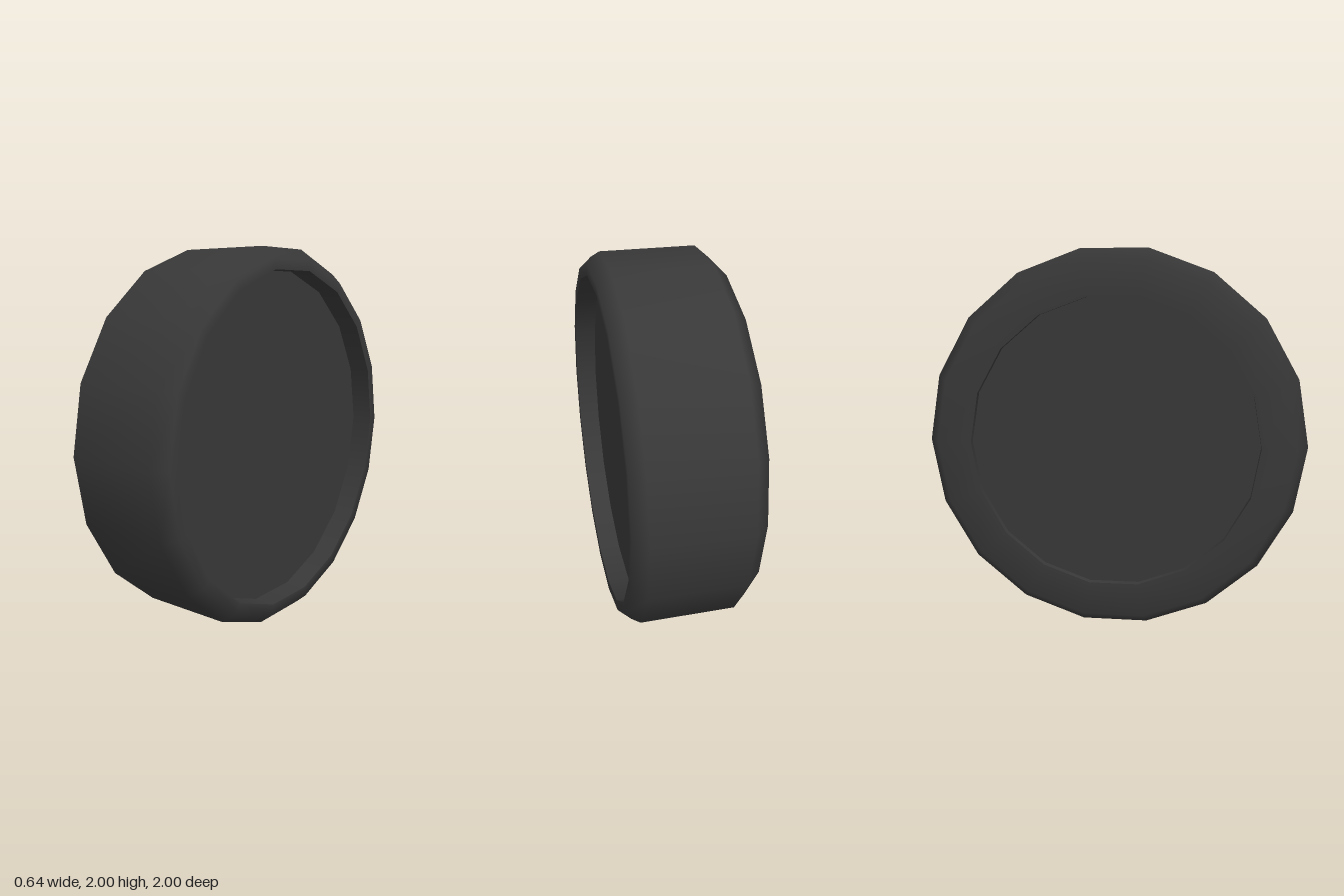
import * as THREE from 'three';

const SIDES = 18;

export function createModel() {
  const wheel = new THREE.Group();
  wheel.name = 'wheel';
  const rubber = new THREE.MeshStandardMaterial({ color: 0x383838 });
  rubber.name = 'dark rubber';

  // Revolves [radius, x] points around the axle; each part is smooth, joints stay sharp
  function ring(name, profile) {
    const points = profile.map(([r, x]) => new THREE.Vector2(r, x));
    const geometry = new THREE.LatheGeometry(points, SIDES);
    geometry.rotateZ(-Math.PI / 2);
    // the polygon is stretched slightly so its flats reach the full height
    geometry.scale(1, 1 / Math.sin((80 * Math.PI) / 180), 1);
    geometry.translate(0, 1, 0);
    const mesh = new THREE.Mesh(geometry, rubber);
    mesh.name = name;
    wheel.add(mesh);
  }

  // Tyre: sidewalls, bevelled shoulders and tread
  ring('tyre', [[0.76, -0.32], [0.94, -0.32], [1, -0.25], [1, 0.25], [0.94, 0.32], [0.885, 0.32]]);

  // Deep, wide recess on the left side
  ring('deepRecessWall', [[0.885, 0.32], [0.885, 0.2]]);
  ring('deepRecessDisc', [[0.885, 0.2], [0, 0.2]]);

  // Shallow, narrower recess on the right side
  ring('shallowRecessWall', [[0.76, -0.285], [0.76, -0.32]]);
  ring('shallowRecessDisc', [[0, -0.285], [0.76, -0.285]]);

  return wheel;
}
